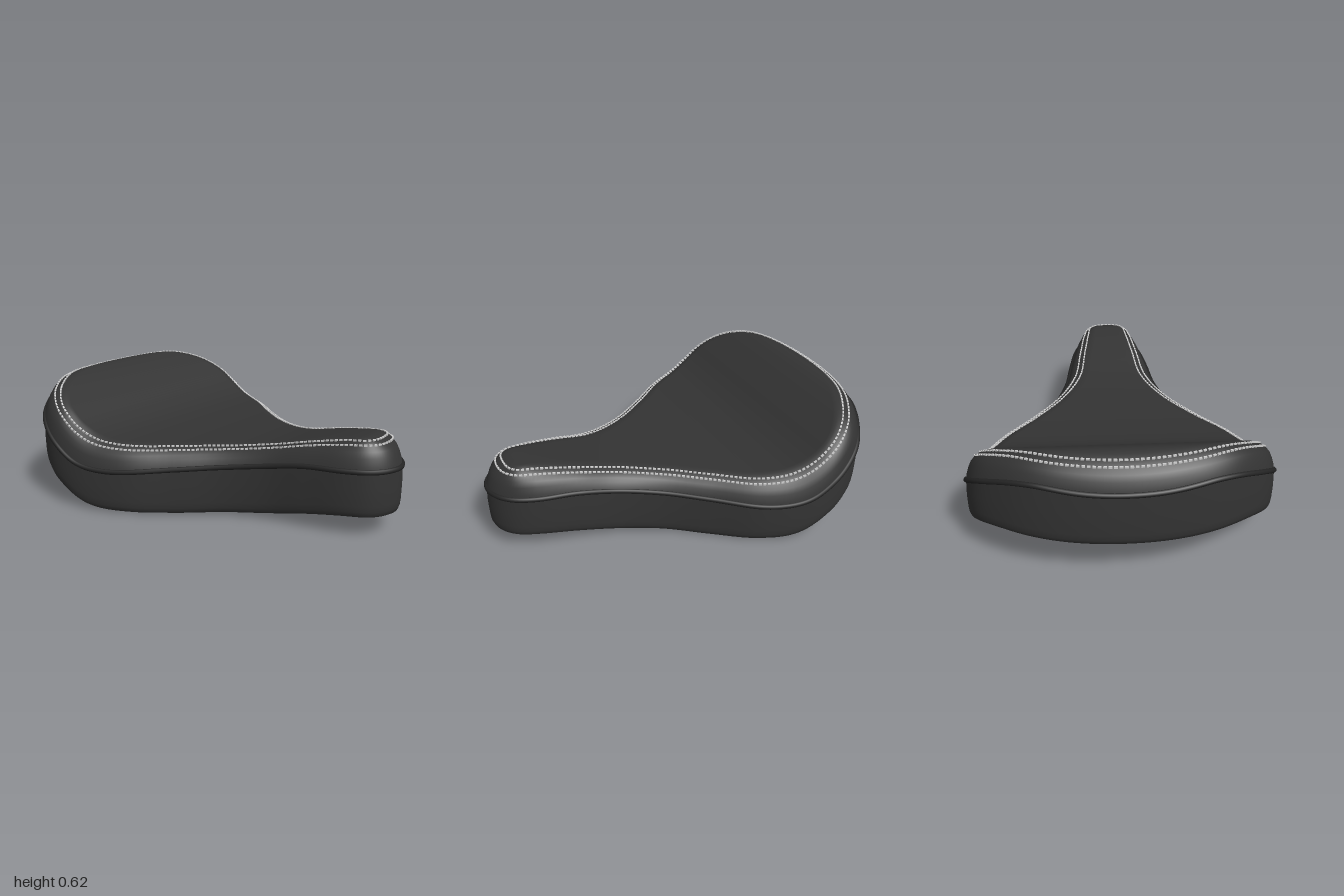
import * as THREE from 'three';
import { mergeGeometries } from 'three/addons/utils/BufferGeometryUtils.js';

const N = 192; // points around each ring

// Half outlines in plan [x, z], back to nose: rim and inner stitch line, point for point
const RIM = [[-1, 0], [-0.985, 0.2], [-0.94, 0.38], [-0.87, 0.53], [-0.76, 0.67], [-0.64, 0.73], [-0.52, 0.742],
  [-0.38, 0.715], [-0.2, 0.635], [0, 0.485], [0.2, 0.35], [0.4, 0.27], [0.6, 0.235], [0.8, 0.2], [0.91, 0.15],
  [0.975, 0.08], [1, 0]];
const INNER = [[-0.9, 0], [-0.887, 0.18], [-0.85, 0.34], [-0.79, 0.47], [-0.71, 0.58], [-0.62, 0.642], [-0.53, 0.655],
  [-0.42, 0.635], [-0.24, 0.56], [-0.05, 0.415], [0.15, 0.275], [0.37, 0.175], [0.58, 0.143], [0.77, 0.115],
  [0.85, 0.1], [0.885, 0.065], [0.895, 0]];

// Height profiles along the length [x, y]
const BOTTOM = [[-1, 0.225], [-0.8, 0.212], [-0.6, 0.125], [-0.4, 0.028], [-0.2, 0.008], [0, 0.003], [0.2, 0.015],
  [0.4, 0.035], [0.6, 0.075], [0.8, 0.105], [1, 0.11]];
const SEAM = [[-1, 0.49], [-0.92, 0.515], [-0.8, 0.46], [-0.6, 0.335], [-0.45, 0.25], [-0.3, 0.225], [-0.1, 0.235],
  [0.2, 0.262], [0.4, 0.29], [0.6, 0.325], [0.8, 0.335], [1, 0.34]];
const CROWN = [[-1, 0.6], [-0.84, 0.627], [-0.75, 0.595], [-0.6, 0.5], [-0.5, 0.43], [-0.4, 0.38], [-0.3, 0.36],
  [-0.1, 0.35], [0.2, 0.36], [0.4, 0.387], [0.6, 0.435], [0.8, 0.475], [1, 0.485]];
// Cushion edge: [inset, share of the rise from seam to crown]
const EDGE = [[0.1, 0], [0.16, 0.18], [0.3, 0.43], [0.45, 0.62], [0.7, 0.8], [1, 0.92], [1.3, 0.985], [1.5, 1]];

// Smooth interpolation through a profile
function profile(p, x) {
  let i = 0;
  while (i < p.length - 2 && x > p[i + 1][0]) i++;
  const slope = (k) => {
    const a = p[Math.max(k - 1, 0)], b = p[Math.min(k + 1, p.length - 1)];
    return (b[1] - a[1]) / (b[0] - a[0]);
  };
  const w = p[i + 1][0] - p[i][0], t = THREE.MathUtils.clamp((x - p[i][0]) / w, 0, 1);
  const t2 = t * t, t3 = t2 * t;
  return p[i][1] * (2 * t3 - 3 * t2 + 1) + p[i + 1][1] * (3 * t2 - 2 * t3)
    + w * slope(i) * (t3 - 2 * t2 + t) + w * slope(i + 1) * (t3 - t2);
}

function loopCurve(half) {
  const mirrored = half.slice(1, -1).reverse().map(([x, z]) => [x, -z]);
  return new THREE.CatmullRomCurve3([...half, ...mirrored].map(([x, z]) => new THREE.Vector3(x, 0, z)), true);
}
const rimCurve = loopCurve(RIM), innerCurve = loopCurve(INNER);

// Ring at an inset (0 = rim, 1 = inner stitch line), with height as a function of x
function ring(inset, height) {
  return Array.from({ length: N }, (_, i) => {
    const p = rimCurve.getPoint(i / N).lerp(innerCurve.getPoint(i / N), 0);
    const q = innerCurve.getPoint(i / N);
    p.addScaledVector(q.sub(p), inset);
    p.y = height(p.x);
    return p;
  });
}
const cushionRing = (inset, lift = 0) => ring(inset, (x) => {
  const low = profile(SEAM, x);
  return low + (profile(CROWN, x) - low) * profile(EDGE, inset) + lift;
});

// Skin over rings listed from bottom to top, with optional caps running straight across
function skin(rings, capTop, capBottom) {
  const index = [];
  for (let r = 0; r < rings.length - 1; r++) {
    for (let i = 0; i < N; i++) {
      const j = (i + 1) % N, a = r * N, b = a + N;
      index.push(a + i, a + j, b + j, a + i, b + j, b + i);
    }
  }
  const cap = (o, up) => {
    for (let i = 0; i < N / 2; i++) {
      const a = o + i, b = o + i + 1, c = o + N - i - 1, d = o + (N - i) % N;
      if (b !== c) index.push(...(up ? [a, b, c] : [a, c, b]));
      if (a !== d) index.push(...(up ? [a, c, d] : [a, d, c]));
    }
  };
  if (capTop) cap((rings.length - 1) * N, true);
  if (capBottom) cap(0, false);
  const g = new THREE.BufferGeometry().setFromPoints(rings.flat());
  g.setIndex(index);
  g.computeVertexNormals();
  return g;
}

// Row of thin dashes following the cushion at an inset
function stitchRow(inset, count) {
  const curve = new THREE.CatmullRomCurve3(cushionRing(inset, 0.002), true);
  curve.arcLengthDivisions = 800;
  const dash = new THREE.Object3D(), parts = [];
  for (let i = 0; i < count; i++) {
    dash.position.copy(curve.getPointAt(i / count));
    dash.lookAt(dash.position.clone().add(curve.getTangentAt(i / count)));
    dash.updateMatrix();
    parts.push(new THREE.BoxGeometry(0.008, 0.008, 0.015).applyMatrix4(dash.matrix));
  }
  return mergeGeometries(parts);
}

export function createModel() {
  const material = (name, color) => Object.assign(new THREE.MeshStandardMaterial({ color }), { name });
  const leather = material('dark leather', 0x333333);
  const trim = material('black trim', 0x242424);
  const thread = material('pale thread', 0xcccccc);

  const group = new THREE.Group();
  group.name = 'saddle';
  const add = (name, geometry, mat) => {
    const mesh = new THREE.Mesh(geometry, mat);
    mesh.name = name;
    group.add(mesh);
  };

  // Padded top
  add('cushion', skin(EDGE.map(([inset]) => cushionRing(inset)), true, false), leather);

  // Side skirt with a rounded lower edge
  const low = (inset, lift) => ring(inset, (x) => profile(BOTTOM, x) + lift);
  const mid = (inset, t) => ring(inset, (x) => THREE.MathUtils.lerp(profile(BOTTOM, x), profile(SEAM, x), t));
  add('skirt', skin([low(0.3, 0), low(0.17, 0.008), low(0.09, 0.03), low(0.06, 0.06),
    mid(0.05, 0.6), mid(0.1, 1)], false, false), leather);

  // Flat underside
  add('underside', skin([low(0.3, 0)], false, true), leather);

  // Piping around the seam
  const seam = new THREE.CatmullRomCurve3(ring(0.11, (x) => profile(SEAM, x)), true);
  add('piping', new THREE.TubeGeometry(seam, 300, 0.013, 8, true), trim);

  // Double stitching
  add('outerStitching', stitchRow(0.7, 230), thread);
  add('innerStitching', stitchRow(1, 220), thread);

  return group;
}
